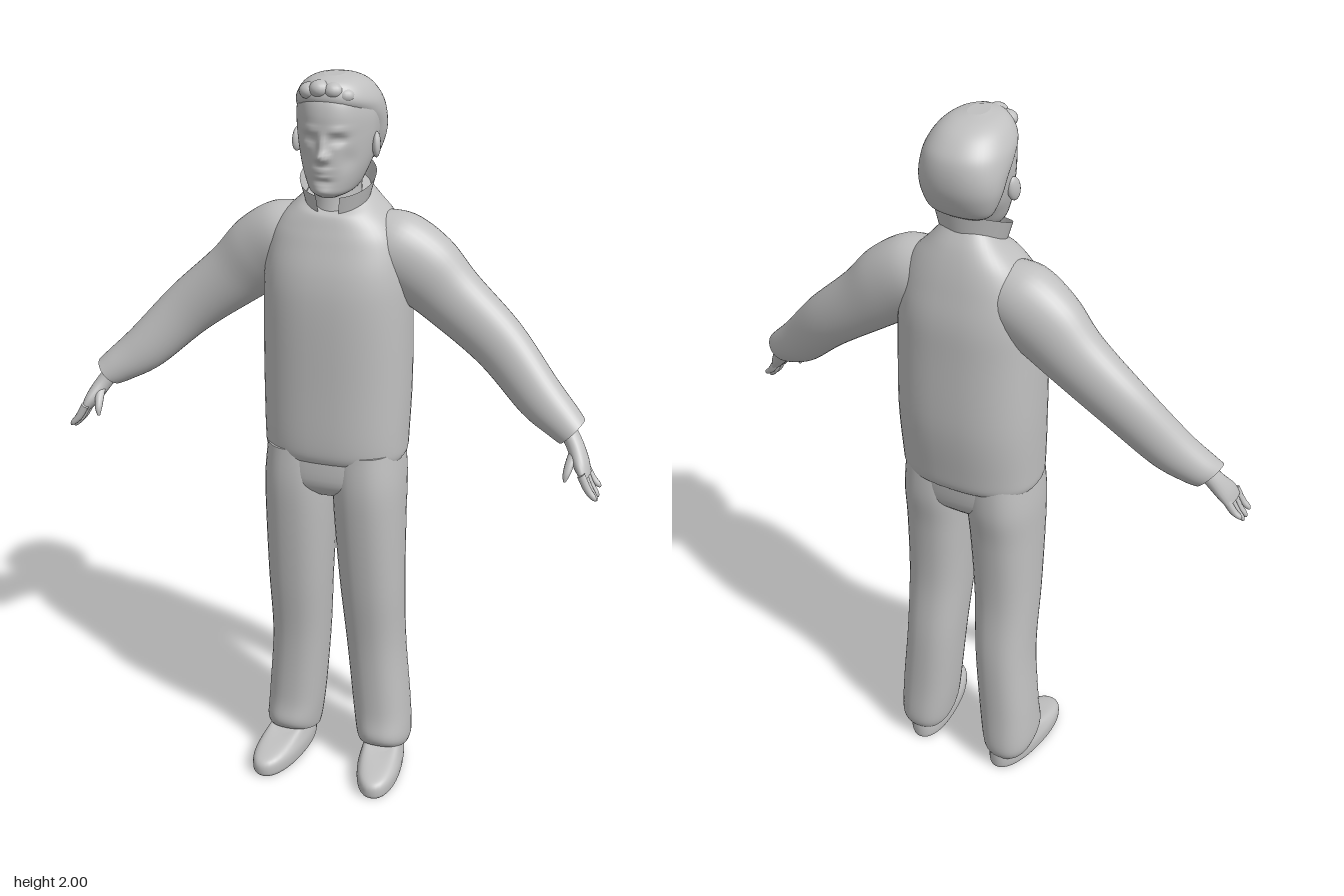
import * as THREE from 'three';
import { ParametricGeometry } from 'three/addons/geometries/ParametricGeometry.js';

const SUB = 6; // smoothing steps between given cross-sections

// Smooth cubic through four values
function cubic(a, b, c, d, t) {
  const m0 = (c - a) / 2, m1 = (d - b) / 2;
  return b + t * (m0 + t * (3 * (c - b) - 2 * m0 - m1 + t * (2 * (b - c) + m0 + m1)));
}

// Upright cross-section: height, back z, front z, half width, centre x, tilt
const sec = (y, zb, zf, rx, x = 0, tilt = 0) => [x, y, (zb + zf) / 2, rx, (zf - zb) / 2, 0, tilt];

// Skin through rows of [x, y, z, half width, half depth, turn in xy, tilt]
function loft(rows, { n = 36, power = 1, deform } = {}) {
  const fine = [], pos = [], idx = [];
  const last = rows.length - 1;
  const row = i => rows[Math.min(last, Math.max(0, i))];
  for (let i = 0; i < last; i++) {
    for (let s = 0; s < SUB; s++) {
      fine.push([0, 1, 2, 3, 4, 5, 6].map(k =>
        cubic(row(i - 1)[k] || 0, row(i)[k] || 0, row(i + 1)[k] || 0, row(i + 2)[k] || 0, s / SUB)));
    }
  }
  fine.push([0, 1, 2, 3, 4, 5, 6].map(k => rows[last][k] || 0));
  const soft = v => Math.sign(v) * Math.abs(v) ** power;
  const p = new THREE.Vector3();
  function ring([x, y, z, ru, rv, ang, tilt]) {
    for (let j = 0; j < n; j++) {
      const a = j / n * Math.PI * 2, c = soft(Math.cos(a)) * ru, s = soft(Math.sin(a));
      p.set(x + c * Math.cos(ang), y + c * Math.sin(ang) - tilt * s, z + rv * s);
      if (deform) deform(p);
      pos.push(p.x, p.y, p.z);
    }
  }
  fine.forEach(ring);
  for (let i = 0; i < fine.length - 1; i++) {
    for (let j = 0; j < n; j++) {
      const a = i * n + j, b = i * n + (j + 1) % n;
      idx.push(a, a + n, b, b, a + n, b + n);
    }
  }
  // End caps
  [fine[0], fine[fine.length - 1]].forEach((r, end) => {
    const base = pos.length / 3;
    ring(r);
    p.set(r[0], r[1], r[2]);
    pos.push(p.x, p.y, p.z);
    for (let j = 0; j < n; j++) {
      const a = base + j, b = base + (j + 1) % n, c = base + n;
      if (end) idx.push(a, c, b); else idx.push(a, b, c);
    }
  });
  const g = new THREE.BufferGeometry();
  g.setAttribute('position', new THREE.Float32BufferAttribute(pos, 3));
  g.setIndex(idx);
  g.computeVertexNormals();
  return g;
}

// Mirrored copy across x = 0
function mirrored(geo) {
  const g = geo.clone();
  const p = g.attributes.position, ix = g.index.array;
  for (let i = 0; i < p.count; i++) p.setX(i, -p.getX(i));
  for (let i = 0; i < ix.length; i += 3) [ix[i], ix[i + 1]] = [ix[i + 1], ix[i]];
  g.computeVertexNormals();
  return g;
}

// Face relief: [x, y, amount, spread x, spread y], mirrored in x
const relief = [
  [0, 1.812, 0.024, 0.012, 0.014], [0, 1.84, 0.012, 0.010, 0.022],
  [0.014, 1.808, 0.008, 0.007, 0.008], [0.038, 1.852, -0.014, 0.018, 0.010],
  [0.038, 1.851, 0.005, 0.010, 0.005], [0.035, 1.875, 0.006, 0.026, 0.008],
  [0, 1.775, 0.008, 0.022, 0.006], [0, 1.761, 0.007, 0.018, 0.006],
  [0, 1.768, -0.006, 0.022, 0.002], [0, 1.748, -0.005, 0.024, 0.005],
  [0, 1.722, 0.008, 0.024, 0.012], [0.058, 1.80, -0.006, 0.016, 0.025],
];
function shapeFace(p) {
  if (p.z <= 0) return;
  const k = Math.min(1, p.z / 0.06);
  p.x *= 1 - 0.1 * k;
  let dz = 0;
  for (const [x, y, amount, sx, sy] of relief) {
    dz += amount * Math.exp(-(((Math.abs(p.x) - x) / sx) ** 2) - ((p.y - y) / sy) ** 2);
  }
  p.z += dz * k;
}

export function createModel() {
  const model = new THREE.Group();
  const grey = new THREE.MeshStandardMaterial({ color: 0xc0c0c0, side: THREE.DoubleSide });
  grey.name = 'plain grey';
  const add = (name, geo) => {
    const m = new THREE.Mesh(geo, grey);
    m.name = name;
    model.add(m);
    return m;
  };
  const addPair = (name, geo) => {
    add('left' + name, geo);
    add('right' + name, mirrored(geo));
  };

  // Jacket body with overhanging hem
  add('jacket', loft([
    sec(0.985, -0.135, 0.10, 0.178), sec(1.0, -0.155, 0.118, 0.19), sec(1.05, -0.165, 0.126, 0.193),
    sec(1.2, -0.18, 0.126, 0.196), sec(1.4, -0.175, 0.125, 0.194), sec(1.5, -0.17, 0.115, 0.19),
    sec(1.58, -0.155, 0.092, 0.175), sec(1.63, -0.14, 0.078, 0.148, 0, 0.01),
    sec(1.67, -0.122, 0.066, 0.108, 0, 0.02), sec(1.695, -0.1, 0.055, 0.08, 0, 0.035),
  ], { n: 48, power: 0.82 }));

  // Sleeves
  addPair('Sleeve', loft([
    [0.07, 1.575, -0.045, 0.085, 0.075, -2.0], [0.14, 1.555, -0.045, 0.104, 0.09, -2.1],
    [0.22, 1.505, -0.05, 0.103, 0.083, -2.25], [0.30, 1.435, -0.052, 0.088, 0.07, -2.32],
    [0.43, 1.33, -0.04, 0.075, 0.06, -2.3], [0.545, 1.217, -0.004, 0.064, 0.055, -2.3],
    [0.615, 1.165, 0.02, 0.051, 0.05, -2.3], [0.642, 1.147, 0.032, 0.044, 0.045, -2.3],
  ]));

  // Hands, fingers and thumbs
  addPair('Hand', loft([
    [0.62, 1.165, 0.03, 0.022, 0.026, -2.4], [0.65, 1.125, 0.047, 0.022, 0.03, -2.5],
    [0.675, 1.085, 0.07, 0.02, 0.04, -2.6], [0.692, 1.055, 0.082, 0.013, 0.039, -2.6],
  ], { n: 20 }));
  for (let i = 0; i < 4; i++) {
    const z = 0.052 + i * 0.021, drop = [0.042, 0.06, 0.062, 0.052][i];
    addPair('Finger' + (i + 1), loft([
      [0.685, 1.068, z, 0.011, 0.0105, -2.6],
      [0.704, 1.06 - drop * 0.5, z + 0.004, 0.010, 0.010, -2.7],
      [0.72, 1.06 - drop * 0.85, z + 0.007, 0.008, 0.008, -2.7],
      [0.726, 1.06 - drop, z + 0.008, 0.003, 0.003, -2.7],
    ], { n: 10 }));
  }
  addPair('Thumb', loft([
    [0.658, 1.115, 0.062, 0.014, 0.014, -2.9], [0.652, 1.09, 0.09, 0.012, 0.013, -3.1],
    [0.648, 1.065, 0.108, 0.010, 0.010, -3.1], [0.645, 1.045, 0.116, 0.004, 0.004, -3.1],
  ], { n: 12 }));

  // Trousers
  add('hips', loft([
    sec(0.885, -0.10, 0.075, 0.15), sec(0.93, -0.135, 0.112, 0.182), sec(1.03, -0.145, 0.112, 0.182),
  ], { power: 0.82 }));
  addPair('TrouserLeg', loft([
    sec(0.065, -0.125, 0.045, 0.068, 0.137, -0.025), sec(0.1, -0.14, 0.058, 0.075, 0.137, -0.02),
    sec(0.2, -0.137, 0.05, 0.079, 0.128), sec(0.4, -0.132, 0.058, 0.08, 0.112),
    sec(0.6, -0.116, 0.085, 0.087, 0.105), sec(0.8, -0.125, 0.108, 0.093, 0.099),
    sec(0.92, -0.14, 0.117, 0.095, 0.096), sec(1.02, -0.14, 0.112, 0.09, 0.092),
  ], { power: 0.85 }));

  // Shoes, toes turned out
  const shoe = loft([
    sec(0, -0.128, 0.172, 0.056), sec(0.012, -0.13, 0.18, 0.061), sec(0.04, -0.13, 0.176, 0.062),
    sec(0.068, -0.125, 0.145, 0.055, 0, 0.012), sec(0.1, -0.11, 0.05, 0.045, 0, 0.025),
  ], { power: 0.9 });
  shoe.rotateY(0.13).translate(0.144, 0, 0);
  addPair('Shoe', shoe);

  // Neck and head
  add('neck', loft([
    sec(1.62, -0.10, 0.058, 0.068), sec(1.7, -0.09, 0.045, 0.06), sec(1.8, -0.095, 0.04, 0.062),
  ]));
  add('head', loft([
    sec(1.703, 0.01, 0.075, 0.028), sec(1.715, -0.035, 0.09, 0.055), sec(1.735, -0.07, 0.095, 0.07),
    sec(1.77, -0.10, 0.097, 0.084), sec(1.81, -0.135, 0.098, 0.095), sec(1.86, -0.148, 0.098, 0.102),
    sec(1.91, -0.145, 0.098, 0.102), sec(1.95, -0.12, 0.085, 0.09), sec(1.98, -0.07, 0.05, 0.055),
  ], { n: 96, power: 0.92, deform: shapeFace }));

  // Hair cap stepping forward to the fringe
  add('hair', loft([
    sec(1.765, -0.105, -0.055, 0.06), sec(1.785, -0.13, -0.04, 0.085), sec(1.83, -0.151, -0.015, 0.103),
    sec(1.87, -0.158, 0.012, 0.109), sec(1.91, -0.155, 0.06, 0.109), sec(1.94, -0.142, 0.088, 0.102),
    sec(1.97, -0.112, 0.085, 0.083), sec(1.988, -0.075, 0.07, 0.058), sec(1.997, -0.03, 0.04, 0.025),
  ], { n: 48, power: 0.92 }));
  for (const [x, y, z, r] of [[-0.045, 1.962, 0.062, 0.026], [-0.015, 1.97, 0.07, 0.027], [0.018, 1.967, 0.066, 0.026], [0.045, 1.955, 0.055, 0.024]]) {
    add('fringeTuft', new THREE.SphereGeometry(r, 16, 12).scale(1, 0.8, 1).translate(x, y, z));
  }

  // Ears
  addPair('Ear', new THREE.SphereGeometry(1, 16, 12).scale(0.011, 0.032, 0.02)
    .rotateX(-0.2).rotateY(0.3).translate(0.103, 1.825, -0.012));

  // Upturned collar, open at the front
  const gap = 0.32;
  add('collar', new ParametricGeometry((u, v, p) => {
    const a = Math.PI / 2 + gap + u * 2 * (Math.PI - gap), c = Math.cos(a), s = Math.sin(a);
    p.set((0.082 + 0.016 * v) * c, 1.683 - 0.033 * s + v * (0.056 - 0.006 * s), -0.022 + (0.08 + 0.008 * v) * s);
  }, 48, 4));

  return model;
}
